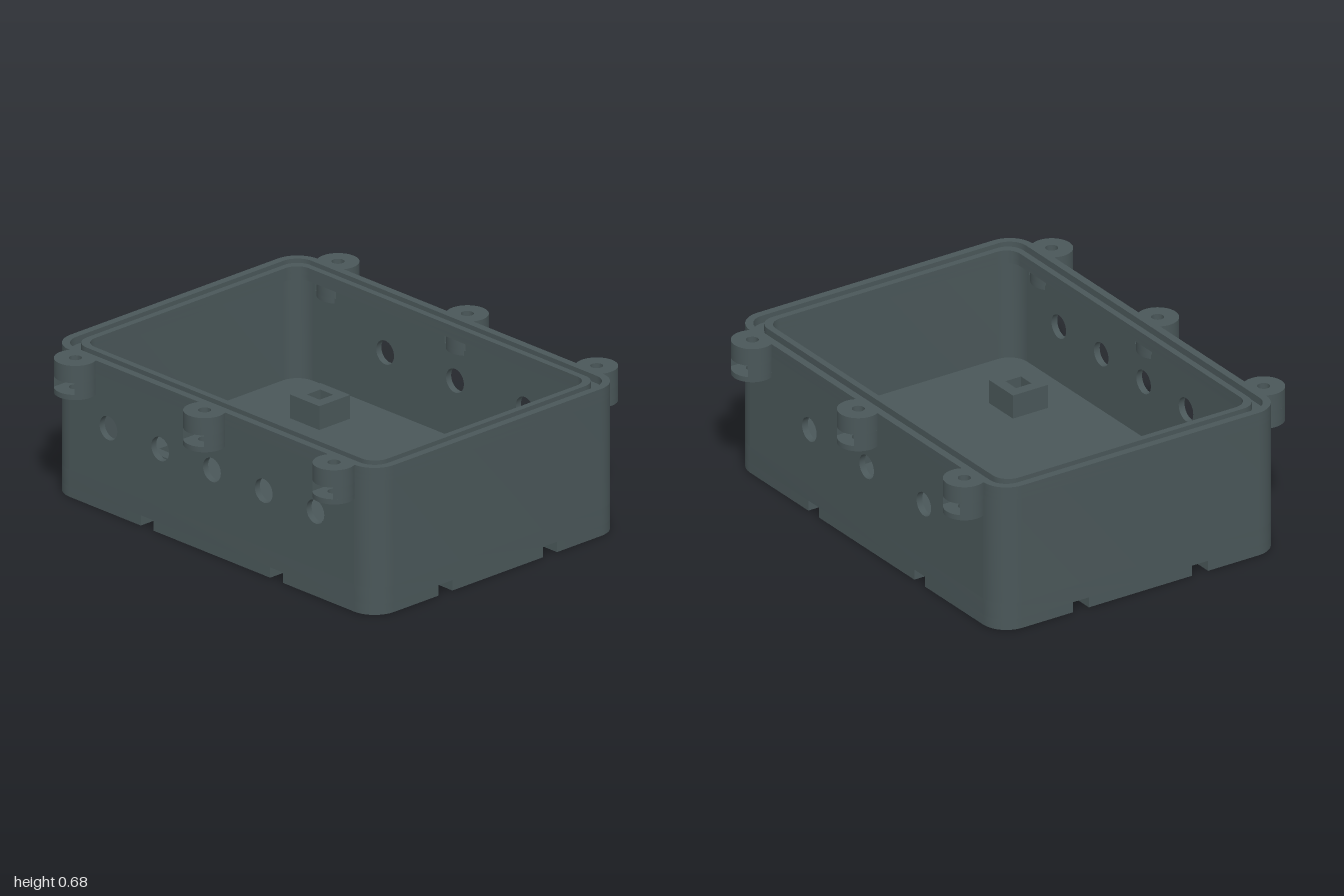
import * as THREE from 'three';
import { toCreasedNormals } from 'three/addons/utils/BufferGeometryUtils.js';

const HX = 1, HZ = 0.732, R = 0.12;            // outer half sizes and corner radius
const FLOOR = 0.125, TOP = 0.68, WALL = 0.03;  // floor level, rim level, wall thickness
const SEAL = TOP - 0.035, RIM = 0.62;          // bottom of the seal groove, underside of the rim

const body = new THREE.MeshStandardMaterial({ color: 0x4a5759 });
body.name = 'dark slate plastic';

const V = (x, y) => new THREE.Vector2(x, y);
const flip = (pts, sx, sy) => pts.map(p => V(p.x * sx, p.y * sy));

function arc(cx, cy, r, a0, a1, n) {
  const out = [];
  for (let i = 0; i <= n; i++) {
    const a = a0 + (a1 - a0) * i / n;
    out.push(V(cx + r * Math.cos(a), cy + r * Math.sin(a)));
  }
  return out;
}

const circle = (cx, cy, r, n) => arc(cx, cy, r, 0, Math.PI * 2, n).slice(0, -1);
const square = h => [V(-h, -h), V(h, -h), V(h, h), V(-h, h)];

// Rounded corner in the +x +y quadrant, from the side edge round to the end edge
const quarter = (inset, r = R - inset) =>
  arc(HX - inset - r, HZ - inset - r, r, 0, Math.PI / 2, 10);

function roundedPlan(inset, r) {
  const q = quarter(inset, r);
  return [...q, ...flip(q, -1, 1).reverse(), ...flip(q, -1, -1), ...flip(q, 1, -1).reverse()];
}

export function createModel() {
  const model = new THREE.Group();
  model.name = 'enclosureBase';

  const add = (name, geometry, parent = model) => {
    const mesh = new THREE.Mesh(geometry, body);
    mesh.name = name;
    parent.add(mesh);
    return mesh;
  };

  // Raise a plan outline from y0 to y1 (plan y points to the back)
  const raise = (name, pts, y0, y1, parent = model, hole = null) => {
    const shape = new THREE.Shape(pts);
    if (hole) shape.holes.push(new THREE.Path(hole));
    const g = new THREE.ExtrudeGeometry(shape, { depth: y1 - y0, bevelEnabled: false });
    g.rotateX(-Math.PI / 2).translate(0, y0, 0);
    return add(name, toCreasedNormals(g, 0.5), parent);
  };

  const block = (name, x0, x1, y0, y1, z0, z1) =>
    add(name, new THREE.BoxGeometry(x1 - x0, y1 - y0, z1 - z0)
      .translate((x0 + x1) / 2, (y0 + y1) / 2, (z0 + z1) / 2));

  // Underside: pads separated by strap channels
  const PAD = 0.048, COVER = 0.021, BRIDGE = 0.15;
  const gx0 = 0.36, gx1 = 0.44, gz0 = 0.267, gz1 = 0.35;
  block('centrePad', -gx0, gx0, 0, PAD, -gz0, gz0);
  for (const s of [-1, 1]) {
    const span = (a, b) => s > 0 ? [a, b] : [-b, -a];
    block('sidePad', ...span(gx1, HX), 0, PAD, -gz0, gz0);
    block('endPad', -gx0, gx0, 0, PAD, ...span(gz1, HZ));
    // Bridges that hold the straps in the middle
    block('strapBridge', ...span(gx0, gx1), 0, COVER, -BRIDGE, BRIDGE);
    block('strapBridge', -BRIDGE, BRIDGE, 0, COVER, ...span(gz0, gz1));
    for (const t of [-1, 1]) {
      const pts = [V(gx1, gz1), V(HX, gz1), ...quarter(0), V(gx1, HZ)];
      raise('cornerPad', flip(pts, s, t), 0, PAD);
    }
  }
  raise('floor', roundedPlan(0), PAD, FLOOR);

  // Side walls with the rounded corners
  const outer = quarter(0), inner = quarter(WALL);
  const endWall = [
    ...flip(outer, 1, -1).reverse(), ...outer,
    ...[...inner].reverse(), ...flip(inner, 1, -1),
  ];
  raise('leftWall', endWall, FLOOR, RIM);
  raise('rightWall', flip(endWall, -1, 1), FLOOR, RIM);

  // Front and back walls with round cable holes and openings for the nut slots
  const EARS = [-0.8, 0, 0.8], SLOT = 0.064, SLOT0 = 0.546, SLOT1 = 0.6;
  const cableWall = (name, z, xs) => {
    const w = HX - R;
    const shape = new THREE.Shape([V(-w, FLOOR), V(w, FLOOR), V(w, RIM), V(-w, RIM)]);
    for (const x of xs) shape.holes.push(new THREE.Path(circle(x, 0.39, 0.055, 32)));
    for (const x of EARS) {
      shape.holes.push(new THREE.Path([
        V(x - SLOT, SLOT0), V(x + SLOT, SLOT0), V(x + SLOT, SLOT1), V(x - SLOT, SLOT1)]));
    }
    const g = new THREE.ExtrudeGeometry(shape, { depth: WALL, bevelEnabled: false });
    add(name, toCreasedNormals(g.translate(0, 0, z), 0.5));
  };
  cableWall('frontWall', HZ - WALL, [-0.64, -0.32, 0, 0.32, 0.64]);
  cableWall('backWall', -HZ, [-0.432, 0, 0.432]);

  // Thick rim with a seal groove between two lips
  raise('rim', roundedPlan(0), RIM, SEAL, model, roundedPlan(0.1, 0.07));
  raise('outerLip', roundedPlan(0), SEAL, TOP, model, roundedPlan(0.035));
  raise('innerLip', roundedPlan(0.07, 0.08), SEAL, TOP, model, roundedPlan(0.1, 0.07));

  // Hollow square posts on the floor
  for (const x of [-0.555, 0.555]) {
    for (const z of [-0.435, 0.435]) {
      raise('mountingPost', square(0.091), FLOOR, 0.235, model, square(0.04)).position.set(x, 0, z);
    }
  }

  // Screw ears: round bosses through the wall with a pointed nut slot
  const CZ = 0.775, ER = 0.092;
  const a0 = -Math.asin((CZ - HZ) / ER), a1 = Math.acos(SLOT / ER);
  const clipped = arc(0, CZ, ER, a0, Math.PI - a0, 32);
  const bore = circle(0, CZ, 0.028, 24);
  const nutLayer = [
    ...arc(0, CZ, ER, a1, -Math.PI - a1, 32),
    V(-SLOT, 0.738), V(0, 0.701), V(SLOT, 0.738),
  ];
  for (const turn of [0, Math.PI]) {
    for (const x of EARS) {
      const ear = new THREE.Group();
      ear.name = 'screwEar';
      raise('earTop', clipped, SLOT1, TOP, ear, bore);
      raise('earNutSlot', nutLayer, SLOT0, SLOT1, ear);
      raise('earBottom', circle(0, CZ, ER, 40), 0.522, SLOT0, ear, bore);
      ear.position.x = x;
      ear.rotation.y = turn;
      model.add(ear);
    }
  }
  return model;
}
